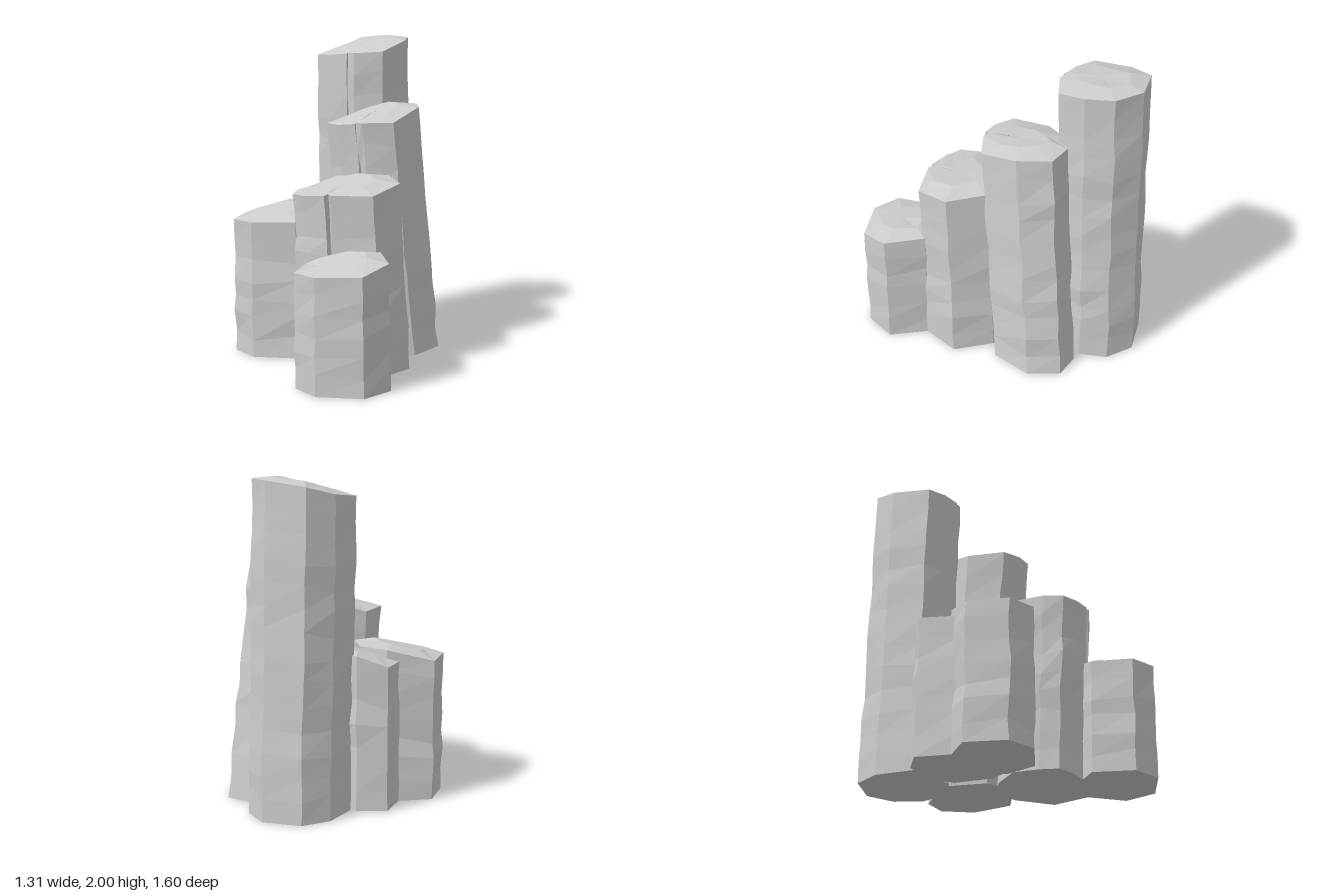
import * as THREE from 'three';

// Small seeded generator for the rough stone surface
function makeRandom(seed) {
  let s = seed;
  return () => {
    s = (s * 16807) % 2147483647;
    return (s / 2147483647) * 2 - 1; // -1..1
  };
}

// Top outlines [x, z], running left, back, right, front
const SMALL = [[-0.655, -0.45], [-0.485, -0.64], [-0.2, -0.565], [-0.105, -0.4], [-0.185, -0.15], [-0.39, -0.095], [-0.62, -0.26]];
const TALL = [[0.03, -0.61], [0.23, -0.755], [0.42, -0.77], [0.6, -0.61], [0.605, -0.42], [0.5, -0.275], [0.3, -0.215], [0.14, -0.31], [0.125, -0.36], [0.11, -0.35], [0.045, -0.48]];
const SECOND = [[-0.14, -0.15], [0.03, -0.31], [0.24, -0.285], [0.4, -0.235], [0.48, -0.09], [0.385, 0.1], [0.14, 0.21], [-0.03, 0.11], [-0.045, 0.06], [-0.065, 0.085], [-0.13, -0.02]];
const THIRD = [[-0.48, 0.06], [-0.4, -0.03], [-0.28, -0.12], [-0.1, -0.09], [0.08, -0.02], [0.13, 0.17], [0.07, 0.42], [-0.16, 0.5], [-0.365, 0.34], [-0.355, 0.295], [-0.39, 0.305], [-0.455, 0.18]];
const BACK = [[-0.29, -0.57], [-0.12, -0.74], [0.05, -0.665], [0.14, -0.5], [0.13, -0.32], [-0.06, -0.18], [-0.2, -0.17], [-0.29, -0.34]];
const FRONT = SMALL.map(([x, z]) => [x, z + 0.89]);

// low/high: height of the top at its left edge and at its crest
// shift/scale: offset and size of the base relative to the top
const COLUMNS = [
  { name: 'tallestColumn', outline: TALL, low: 1.88, high: 2.0, shift: [0.04, -0.02], scale: 1.01 },
  { name: 'secondColumn', outline: SECOND, low: 1.49, high: 1.6, shift: [0.17, -0.005], scale: 0.99 },
  { name: 'thirdColumn', outline: THIRD, low: 1.1, high: 1.2, shift: [0.065, -0.005], scale: 1.03 },
  { name: 'frontColumn', outline: FRONT, low: 0.71, high: 0.8, shift: [0.01, 0], scale: 1.02 },
  { name: 'backLeftColumn', outline: SMALL, low: 0.87, high: 0.96, shift: [0.01, 0], scale: 1.02 },
  { name: 'backMiddleColumn', outline: BACK, low: 0.87, high: 0.96, shift: [0, 0], scale: 1.02 },
];

function columnGeometry({ outline, low, high, shift, scale }, seed) {
  const random = makeRandom(seed);
  const n = outline.length;
  const xs = outline.map((p) => p[0]);
  const zs = outline.map((p) => p[1]);
  const minX = Math.min(...xs), width = Math.max(...xs) - minX;
  const minZ = Math.min(...zs), depth = Math.max(...zs) - minZ;
  const cx = minX + width / 2, cz = minZ + depth / 2;

  // Top slopes up to a crest, dips slightly past it and rounds off at front and back
  const topY = (x, z) => {
    const u = (x - minX) / width;
    const slope = u < 0.7 ? low + (high - low) * (u / 0.7) : high - 0.05 * (u - 0.7);
    return slope - 0.045 * Math.abs((z - cz) / (depth / 2)) ** 4;
  };

  // Rings from base to top, leaning and gently waisted
  const count = Math.round(high / 0.14);
  const rings = [];
  for (let k = 0; k <= count; k++) {
    const t = k / count;
    const end = k === 0 || k === count;
    const rough = end ? 0 : 0.005;
    const s = 1 + (scale - 1) * (1 - t) - (end ? 0 : 0.005 * (1 + random()));
    const dx = shift[0] * (1 - t) + rough * random();
    const dz = shift[1] * (1 - t) + rough * random();
    rings.push(outline.map(([x, z]) => [
      cx + (x - cx) * s + dx + rough * random(),
      topY(x, z) * t + (end ? 0 : 0.025 * random()),
      cz + (z - cz) * s + dz + rough * random(),
    ]));
  }

  // Slightly uneven inner ring on the top
  const inner = outline.map(([x, z]) => {
    const r = 0.55 + 0.12 * random();
    const px = cx + (x - cx) * r, pz = cz + (z - cz) * r;
    return [px, topY(px, pz) + 0.004 * random(), pz];
  });
  rings.push(inner);

  const positions = [];
  const tri = (a, b, c) => positions.push(...a, ...b, ...c);
  const topCentre = [cx, topY(cx, cz) - 0.004, cz];
  const baseCentre = [cx + shift[0], 0, cz + shift[1]];
  for (let i = 0; i < n; i++) {
    const j = (i + 1) % n;
    for (let k = 0; k < rings.length - 1; k++) {
      const a = rings[k][i], b = rings[k][j], c = rings[k + 1][i], d = rings[k + 1][j];
      tri(b, a, c);
      tri(b, c, d);
    }
    tri(topCentre, inner[j], inner[i]);
    tri(baseCentre, rings[0][i], rings[0][j]);
  }

  const geometry = new THREE.BufferGeometry();
  geometry.setAttribute('position', new THREE.Float32BufferAttribute(positions, 3));
  geometry.computeVertexNormals();
  return geometry;
}

export function createModel() {
  const group = new THREE.Group();
  group.name = 'basaltColumns';
  const stone = new THREE.MeshStandardMaterial({ color: 0xcdcdcd, flatShading: true });
  stone.name = 'pale grey stone';

  COLUMNS.forEach((column, i) => {
    const mesh = new THREE.Mesh(columnGeometry(column, 101 + i * 977), stone);
    mesh.name = column.name;
    group.add(mesh);
  });
  return group;
}
